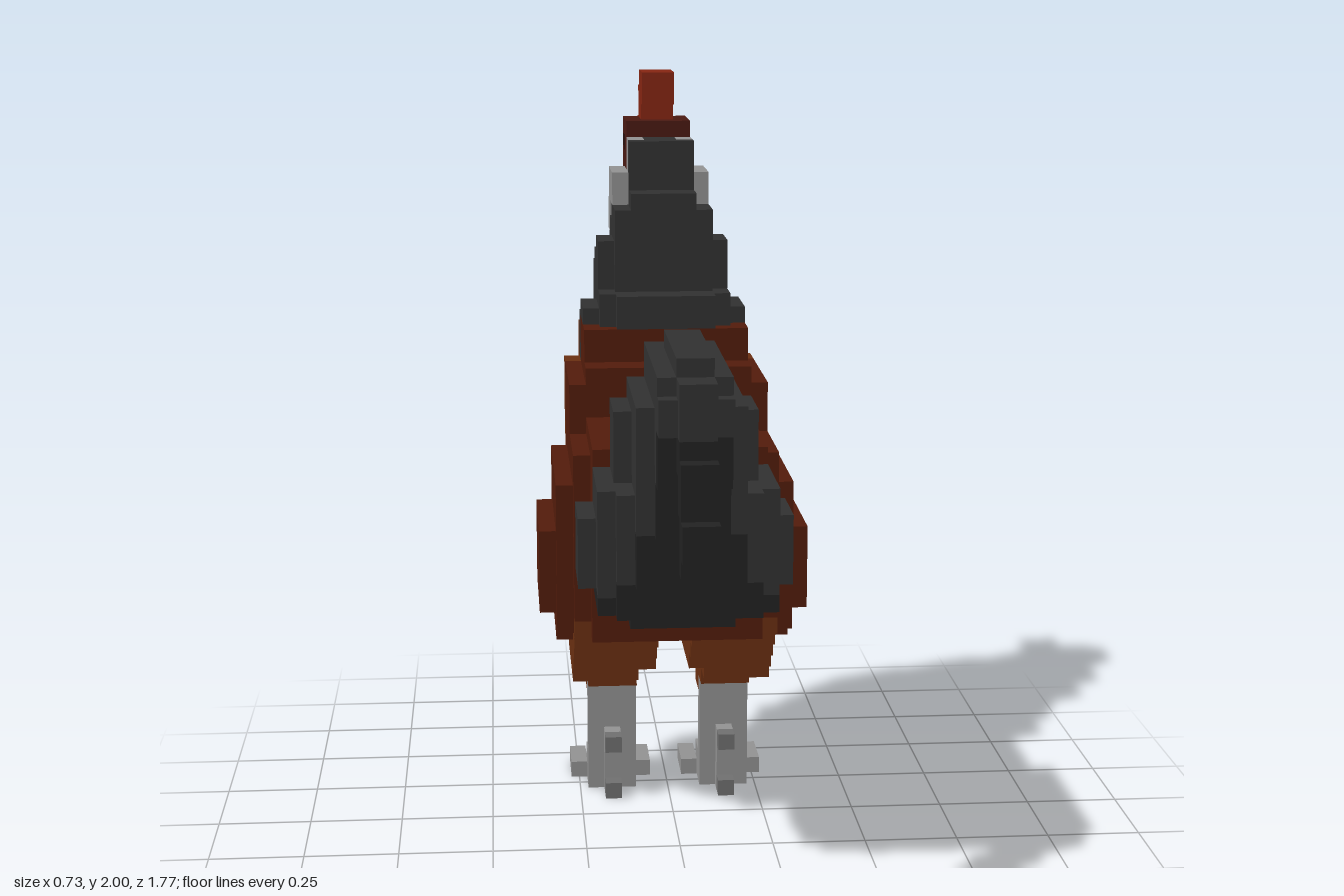
import * as THREE from 'three';

// Voxel rooster on a 16 x 44 x 39 grid: z = 0 at the beak tip, tail toward +z.
const U = 2 / 44, SIZE = { x: 8, y: 44, z: 39 };
const { min, max, ceil, floor } = Math;

const COLORS = {
  body: 0x531c0b, breast: 0x6a2f11, neck: 0x313131, tail: 0x313131, tailFringe: 0x222222,
  head: 0x4a1912, comb: 0x862512, wattle: 0x862512, beak: 0x262626, eye: 0x080808,
  neckFeathers: 0x929292, legs: 0x929292, claws: 0x707070,
};

const within = (v, from, to) => v >= from && v < to;
const key = (x, y, z) => `${x},${y},${z}`;
const grid = new Map();

// Paints every cell that passes the test, mirrored across x = 0; later parts repaint earlier ones.
function fill(part, test) {
  for (let x = 0; x < SIZE.x; x++)
    for (let y = 0; y < SIZE.y; y++)
      for (let z = 0; z < SIZE.z; z++)
        if (test(x, y, z))
          for (const cx of [x, -x - 1]) grid.set(key(cx, y, z), { part, cell: [cx, y, z] });
}

const box = (part, x0, x1, y0, y1, z0, z1) =>
  fill(part, (x, y, z) => within(x, x0, x1) && within(y, y0, y1) && within(z, z0, z1));

function buildBody() {
  // chest, rounded toward the front and sloping back below
  fill('breast', (x, y, z) => x < 6 && within(y, 17, x < 5 ? 28 : 26) &&
    within(z, 2 + floor(max(0, x - 2) * 1.4) + max(0, ceil((21 - y) / 2)), 10));
  box('breast', 0, 5, 16, 17, 6, 10);
  box('breast', 0, 5, 15, 16, 8, 10);
  // neck, tapering upward and rounded at the front
  fill('neck', (x, y, z) => {
    const slope = y + max(0, floor((9 - z) / 2));
    const width = slope < 30 ? 5 : slope < 34 ? 4 : slope < 36 ? 3 : 2;
    const front = y < 28 ? 6 : y < 33 ? 2 + max(0, x - 1) : y < 37 ? 5 : 7;
    const back = y < 31 ? 14 : y < 37 ? 12 : 10;
    return within(y, 26, 40) && x < width && within(z, front, back - max(0, x - 2));
  });
  // back and rump, ridged along the middle
  fill('body', (x, y, z) => x < 6 && within(y, z < 23 ? 12 : 16, 26 - ceil(x / 2)) &&
    within(z, 10, x < 5 ? 25 : 22));
  box('body', 0, 2, 25, 26, 10, 18);
  // shoulders
  fill('body', (x, y, z) => within(y, 20, 29) && x < (y < 26 ? 6 : 5) &&
    within(z, 8, y < 27 ? 16 : 14));
  // belly and thighs, with a notch between the thighs at the front
  box('breast', 0, 6, 12, 13, 10, 22);
  box('breast', 2, 5, 12, 16, 9, 10);
  fill('breast', (x, y, z) => within(y, 6, 12) &&
    within(x, y < 9 ? 2 : 1, y < 8 ? 5 : 6) &&
    within(z, max(within(x, 2, 5) ? 9 : 10, 24 - 2 * y), min(2 * y + 2, y + 10)));
  // wings
  box('body', 6, 7, 12, 21, 10, 21);
  box('body', 6, 7, 11, 12, 11, 19);
  box('body', 7, 8, 13, 18, 12, 20);
}

function buildTail() {
  // fan of feathers: outer layers are lower and shorter
  const top = [31, 30, 28, 27, 23, 21], end = [35, 35, 33, 32, 31, 29];
  const rim = (y) => (y < 16 ? 27 : min(35, floor(y / 3) + 27));
  const fan = (x, y, z) => {
    const start = y > 29 && x < 1 ? 26 : within(y, 16, 26) || x > 2 ? 25 : 24;
    const tip = x > 2 && y > 22 ? 29 : end[x];
    return x < min(6, y - 11) && within(y, 14, top[x]) && within(z, start, min(tip, rim(y)));
  };
  fill('tail', fan);
  fill('tailFringe', (x, y, z) => fan(x, y, z) && (y < 17 || (y < 27 && z === rim(y) - 1)));
  // drooping sickle feather
  fill('tailFringe', (x, y, z) => {
    const start = 35 + min(2, max(0, ceil((25 - y) / 2)));
    const length = y === 25 ? 3 : y === 20 ? 1 : 2;
    return x < 1 && within(y, 20, 27) && within(z, start, start + length);
  });
  box('tail', 0, 1, 27, 30, 35, 37);
  box('tail', 1, 2, 27, 29, 35, 36);
}

function buildHead() {
  box('head', 0, 2, 37, 41, 3, 7);
  box('wattle', 0, 2, 33, 37, 3, 5);
  box('eye', 1, 2, 39, 40, 4, 5);
  fill('comb', (x, y, z) => x < 1 && y >= 40 &&
    within(z, 2 + ceil((y - 40) / 2), min(7, 4 + 2 * (y - 40))));
  fill('beak', (x, y, z) => x < 1 && within(y, 38, 40) && within(z, y < 39 ? 2 : 0, 3));
  // pale feathers behind the cheeks
  box('neckFeathers', 1, 2, 38, 40, 7, 9);
  box('neckFeathers', 2, 3, 36, 38, 5, 9);
  box('neckFeathers', 2, 3, 34, 36, 4, 6);
}

function buildLegs() {
  // shank with a raised front, instep and spur
  box('legs', 2, 5, 1, 7, 14, 15);
  box('legs', 3, 4, 1, 6, 13, 14);
  box('legs', 2, 5, 1, 2, 12, 14);
  box('legs', 3, 4, 0, 4, 15, 16);
  // foot and three front toes
  box('legs', 2, 5, 0, 1, 13, 15);
  fill('legs', (x, y, z) => y < 1 && within(x, 1, 6) &&
    (z === 12 || (x % 2 === 1 && within(z, 10, 12))));
  fill('claws', (x, y, z) => x === 3 && z === 16 && (y === 0 || y === 3));
}

// Adds one square cell face on the given axis and side.
function addFace(out, cell, axis, side) {
  const u = (axis + 1) % 3, v = (axis + 2) % 3;
  const ring = [[0, 0], [1, 0], [1, 1], [0, 1]];
  if (side < 0) ring.reverse();
  const corners = ring.map(([a, b]) => {
    const p = [...cell];
    p[axis] += side > 0 ? 1 : 0;
    p[u] += a;
    p[v] += b;
    return [p[0] * U, p[1] * U, (p[2] - SIZE.z / 2) * U];
  });
  for (const i of [0, 1, 2, 0, 2, 3]) out.push(...corners[i]);
}

export function createModel() {
  grid.clear();
  buildBody();
  buildTail();
  buildHead();
  buildLegs();

  // keep only the exposed faces of every cell
  const faces = {};
  for (const { part, cell } of grid.values())
    for (let axis = 0; axis < 3; axis++)
      for (const side of [-1, 1]) {
        const next = [...cell];
        next[axis] += side;
        if (!grid.has(key(...next))) addFace(faces[part] ??= [], cell, axis, side);
      }

  const group = new THREE.Group();
  group.name = 'rooster';
  for (const [part, points] of Object.entries(faces)) {
    const geometry = new THREE.BufferGeometry();
    geometry.setAttribute('position', new THREE.Float32BufferAttribute(points, 3));
    geometry.computeVertexNormals();
    const material = new THREE.MeshStandardMaterial({ color: COLORS[part], flatShading: true });
    const mesh = new THREE.Mesh(geometry, material);
    mesh.name = part;
    group.add(mesh);
  }
  return group;
}
